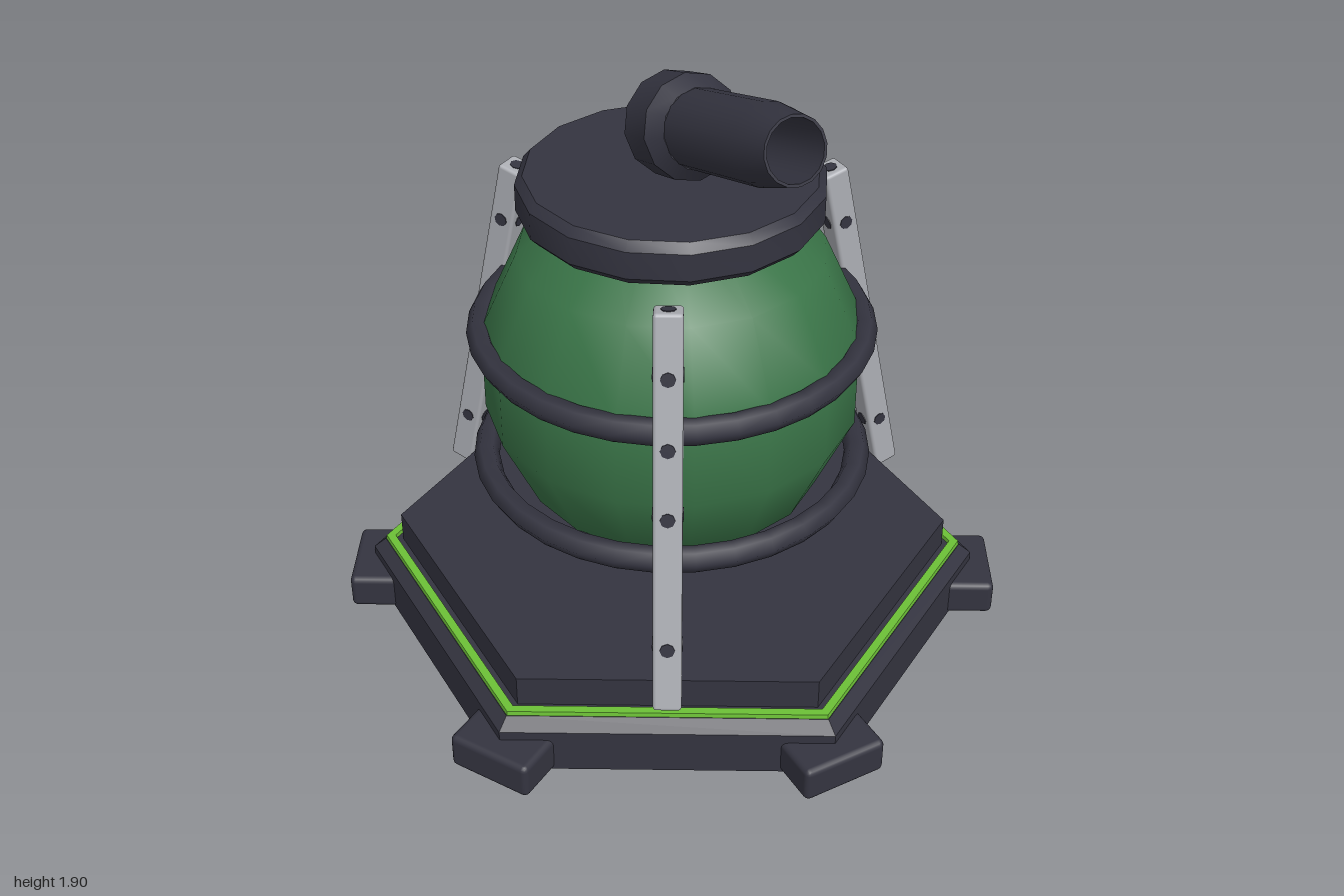
import * as THREE from 'three';
import { toCreasedNormals } from 'three/addons/utils/BufferGeometryUtils.js';
import { RoundedBoxGeometry } from 'three/addons/geometries/RoundedBoxGeometry.js';

const material = (name, color) => {
  const m = new THREE.MeshStandardMaterial({ color });
  m.name = name;
  return m;
};

export function createModel() {
  const dark = material('dark metal', 0x343440);
  const green = material('tank green', 0x3a7548);
  const lime = material('lime trim', 0x6cc036);
  const grey = material('light grey', 0xacaeb4);
  const model = new THREE.Group();

  const add = (parent, name, geometry, mat, x = 0, y = 0, z = 0) => {
    const mesh = new THREE.Mesh(geometry, mat);
    mesh.name = name;
    mesh.position.set(x, y, z);
    parent.add(mesh);
    return mesh;
  };
  // Turned solid with sharp edges; six segments give a hexagonal slab
  const turned = (profile, segments) => toCreasedNormals(
    new THREE.LatheGeometry(profile.map(([r, y]) => new THREE.Vector2(r, y)), segments), 0.6);

  // Hexagonal base with a lime trim line
  add(model, 'base', turned([[0, 0], [0.938, 0], [0.938, 0.138], [0.9, 0.17], [0, 0.17]], 6), dark);
  add(model, 'trim', turned([[0.866, 0.16], [0.9, 0.16], [0.896, 0.183], [0.868, 0.183], [0.866, 0.16]], 6), lime);
  add(model, 'upperPlate', turned([[0, 0.165], [0.845, 0.165], [0.845, 0.265], [0, 0.265]], 6), dark);

  // Feet on the six corners
  for (let i = 0; i < 6; i++) {
    const a = i * Math.PI / 3;
    const foot = add(model, 'foot', new RoundedBoxGeometry(0.26, 0.11, 0.3, 2, 0.018), dark,
      Math.sin(a) * 0.85, 0.055, Math.cos(a) * 0.85);
    foot.rotation.y = a;
  }

  // Tank with two hoops and a lid
  const tank = add(model, 'tank', new THREE.SphereGeometry(1, 16, 7), green, 0, 0.867, 0);
  tank.scale.set(0.567, 0.6, 0.567);
  for (const y of [0.555, 0.99]) {
    add(model, 'hoop', new THREE.TorusGeometry(0.558, 0.038, 6, 32), dark, 0, y, 0).rotation.x = Math.PI / 2;
  }
  add(model, 'lid', turned([[0, 1.358], [0.415, 1.358], [0.437, 1.382], [0.437, 1.462],
    [0.415, 1.488], [0, 1.488]], 16), dark);

  // Three leaning struts with bolts through them
  const length = 1.159;
  for (let i = 0; i < 3; i++) {
    const pivot = new THREE.Group();
    pivot.name = 'strut';
    pivot.rotation.y = i * Math.PI * 2 / 3;
    model.add(pivot);
    const strut = new THREE.Group();
    strut.name = 'strutAssembly';
    strut.position.set(0.656, 0.791, 0);
    strut.rotation.z = 0.223;
    pivot.add(strut);
    add(strut, 'strutBar', new RoundedBoxGeometry(0.08, length, 0.08, 2, 0.01), grey);
    const bolt = (len) => new THREE.CylinderGeometry(0.021, 0.021, len, 8);
    for (const y of [0.4, 0, -0.39]) {
      add(strut, 'bolt', bolt(0.085), dark, 0, y, 0).rotation.x = Math.PI / 2;
      add(strut, 'bolt', bolt(0.085), dark, 0, y, 0).rotation.z = Math.PI / 2;
    }
    add(strut, 'outerBolt', bolt(0.04), dark, 0.0225, 0.2, 0).rotation.z = Math.PI / 2;
    add(strut, 'endBolt', bolt(length + 0.005), dark);
  }

  // Tilted nozzle: collar, then a hollow barrel aimed forward and up
  const nozzle = new THREE.Group();
  nozzle.name = 'nozzle';
  nozzle.position.set(0, 1.628, 0);
  nozzle.rotation.x = Math.PI / 2 - 0.297;
  model.add(nozzle);
  add(nozzle, 'collar', turned([[0, 0], [0.146, 0], [0.148, 0.12], [0.112, 0.165], [0, 0.165]], 12), dark);
  add(nozzle, 'barrel', turned([[0.11, 0.14], [0.11, 0.52], [0.091, 0.648], [0.083, 0.648],
    [0.083, 0.17], [0, 0.17]], 16), dark);

  return model;
}
